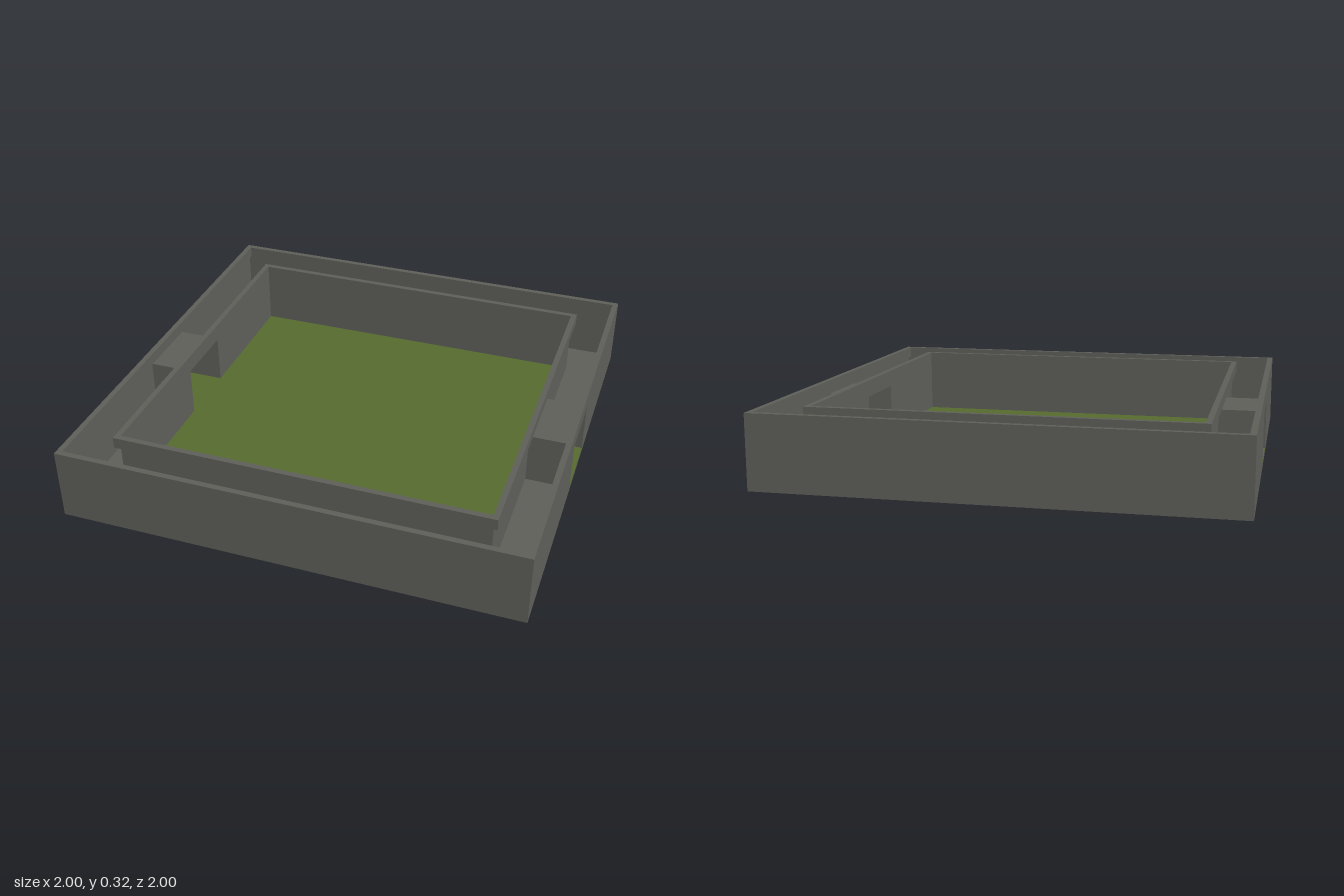
import * as THREE from 'three';

const H = 0.32;      // wall top
const BASE = 0.02;   // slab top
const LIP = 0.05;    // height of the rim along each wall top
const T = 0.005;     // thin wall sheet
const DOOR = 0.15;   // half width of the doorway
const DOOR_TOP = 0.245;

export function createModel() {
  const model = new THREE.Group();
  const stone = new THREE.MeshStandardMaterial({ color: 0x5f5f5a });
  stone.name = 'stone grey';
  const grass = new THREE.MeshStandardMaterial({ color: 0x556b2f });
  grass.name = 'grass green';

  const add = (name, geometry, material, parent = model) => {
    const mesh = new THREE.Mesh(geometry, material);
    mesh.name = name;
    parent.add(mesh);
    return mesh;
  };

  // Box given by its lower and upper corners
  const box = (name, a, b, material, parent) => {
    const g = new THREE.BoxGeometry(b[0] - a[0], b[1] - a[1], b[2] - a[2]);
    g.translate((a[0] + b[0]) / 2, (a[1] + b[1]) / 2, (a[2] + b[2]) / 2);
    return add(name, g, material, parent);
  };

  const square = (r, Type) => new Type([[-r, -r], [r, -r], [r, r], [-r, r]]
    .map(([x, y]) => new THREE.Vector2(x, y)));

  // Square rim running round the arena
  const rim = (name, outer, inner) => {
    const shape = square(outer, THREE.Shape);
    shape.holes.push(square(inner, THREE.Path));
    const g = new THREE.ExtrudeGeometry(shape, { depth: LIP, bevelEnabled: false });
    g.rotateX(-Math.PI / 2).translate(0, H - LIP, 0);
    add(name, g, stone);
  };

  // Four thin walls at half size r, with doorways on the left and right
  const walls = (name, r) => {
    const group = new THREE.Group();
    group.name = name;
    model.add(group);
    for (const s of [-1, 1]) {
      const z = s * (r - T / 2);
      box(s > 0 ? 'frontWall' : 'backWall',
        [-r, BASE, z - T / 2], [r, H, z + T / 2], stone, group);
      const profile = new THREE.Shape([
        [-r, BASE], [-DOOR, BASE], [-DOOR, DOOR_TOP], [DOOR, DOOR_TOP],
        [DOOR, BASE], [r, BASE], [r, H], [-r, H],
      ].map(([x, y]) => new THREE.Vector2(x, y)));
      const g = new THREE.ExtrudeGeometry(profile, { depth: T, bevelEnabled: false });
      g.translate(0, 0, -T / 2).rotateY(Math.PI / 2).translate(s * (r - T / 2), 0, 0);
      add(s > 0 ? 'leftDoorWall' : 'rightDoorWall', g, stone, group);
    }
  };

  // Base slab, which is also the floor of the channel between the walls
  box('baseSlab', [-1, 0, -1], [1, BASE, 1], stone);

  // Outer and inner walls, with rims overhanging the channel
  walls('outerWalls', 1);
  walls('innerWalls', 0.8 + T);
  rim('outerRim', 1 - T, 0.975);
  rim('innerRim', 0.825, 0.8);

  // Grass field
  box('field', [-0.8, BASE, -0.8], [0.8, BASE + 0.002, 0.8], grass);

  // Covered passages crossing the channel
  for (const s of [-1, 1]) {
    const passage = new THREE.Group();
    passage.name = s > 0 ? 'leftPassage' : 'rightPassage';
    model.add(passage);
    const x0 = s > 0 ? 0.8 + T : -(1 - T);
    const x1 = s > 0 ? 1 - T : -(0.8 + T);
    box('passageRoof', [x0, DOOR_TOP, -DOOR - T], [x1, DOOR_TOP + T, DOOR + T], stone, passage);
    for (const k of [-1, 1]) {
      const z = k * (DOOR + T / 2);
      box('passageSide', [x0, BASE, z - T / 2], [x1, DOOR_TOP, z + T / 2], stone, passage);
    }
    const f = s > 0 ? [0.8, 1] : [-1, -0.8];
    box('passageGrass', [f[0], BASE, -DOOR], [f[1], BASE + 0.002, DOOR], grass, passage);
  }

  return model;
}
